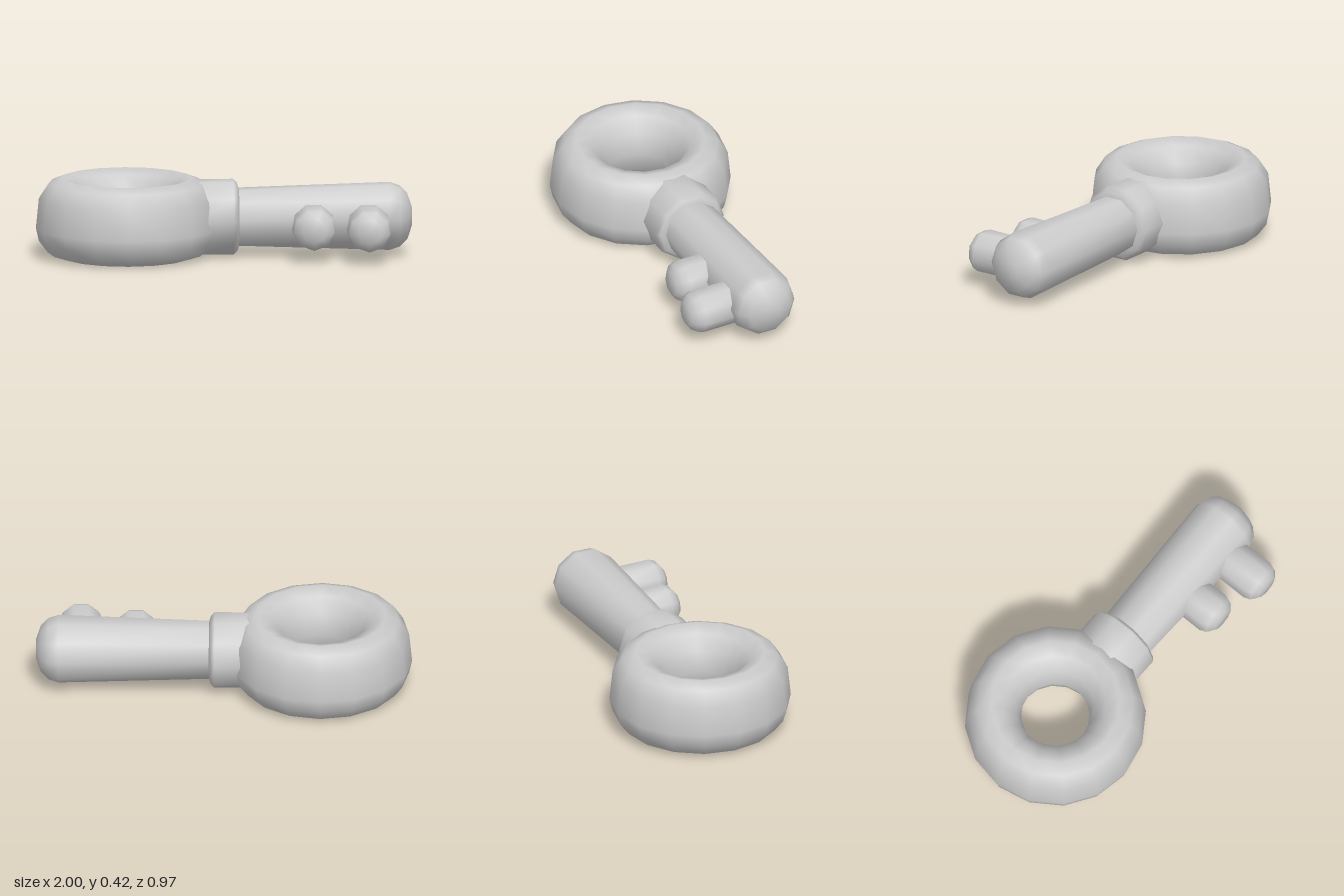
import * as THREE from 'three';
import { mergeVertices } from 'three/addons/utils/BufferGeometryUtils.js';

const material = new THREE.MeshStandardMaterial({ color: 0xcccccc });

// Turned part with welded, fully smooth normals; profile is [radius, height] pairs
function turned(name, profile, sides) {
  let geometry = new THREE.LatheGeometry(profile.map(([r, y]) => new THREE.Vector2(r, y)), sides);
  geometry.deleteAttribute('uv');
  geometry.deleteAttribute('normal');
  geometry = mergeVertices(geometry, 1e-4);
  geometry.computeVertexNormals();
  const mesh = new THREE.Mesh(geometry, material);
  mesh.name = name;
  return mesh;
}

export function createModel() {
  const group = new THREE.Group();
  group.name = 'toyKey';

  // Fat ring handle: up the outside, down the inside, closed
  const ring = turned('ringHandle', [
    [0.483, 0.16], [0.467, 0.32], [0.415, 0.4], [0.345, 0.428],
    [0.27, 0.4], [0.21, 0.32], [0.183, 0.21], [0.21, 0.1],
    [0.27, 0.03], [0.345, 0.004], [0.42, 0.028], [0.467, 0.09], [0.483, 0.16],
  ], 16);
  ring.position.x = -0.517;
  group.add(ring);

  // Collar where the shaft meets the ring, its axis along x
  const collar = turned('collar', [
    [0, -0.2], [0.16, -0.19], [0.203, -0.14], [0.204, 0.05], [0.185, 0.07], [0.14, 0.085], [0, 0.085],
  ], 10);

  // Shaft, widening slightly to a rounded tip
  const shaft = turned('shaft', [
    [0, 0], [0.15, 0.02], [0.157, 0.08], [0.183, 0.88], [0.165, 0.935], [0.125, 0.975], [0.05, 1], [0, 1],
  ], 10);
  for (const part of [collar, shaft]) {
    part.rotation.z = -Math.PI / 2;
    part.position.y = 0.215;
    group.add(part);
  }

  // Two rounded teeth pointing forward, the outer one longer
  for (const [name, x, end] of [['innerTooth', 0.473, 0.338], ['outerTooth', 0.765, 0.402]]) {
    const tooth = turned(name, [
      [0, 0.03], [0.115, 0.04], [0.118, end - 0.07], [0.105, end - 0.035], [0.065, end - 0.005], [0, end],
    ], 9);
    tooth.rotation.x = Math.PI / 2;
    tooth.position.set(x, 0.19, 0);
    group.add(tooth);
  }
  return group;
}
